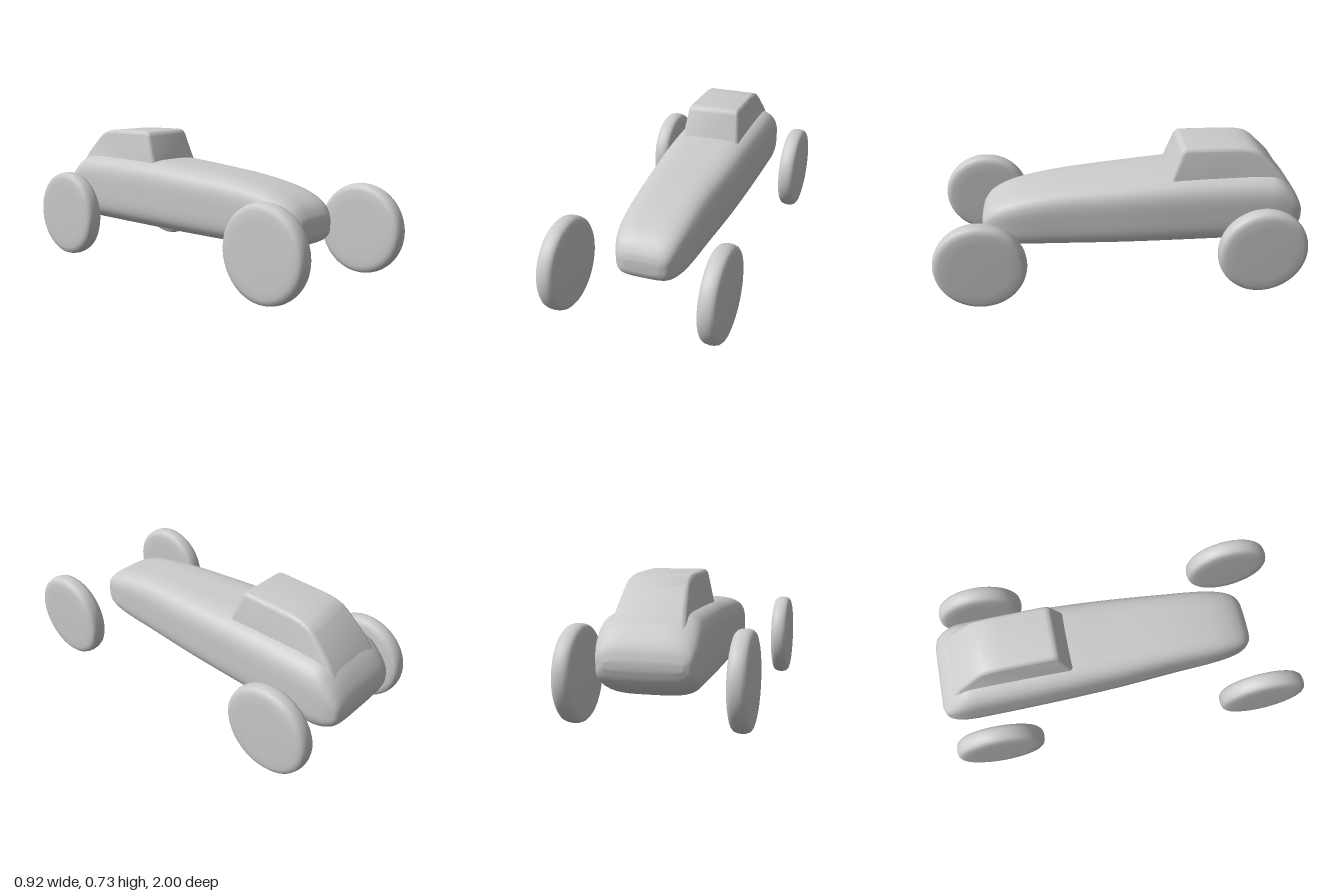
import * as THREE from 'three';
import { toCreasedNormals } from 'three/addons/utils/BufferGeometryUtils.js';

const material = new THREE.MeshStandardMaterial({ color: 0xcccccc });

// Body stations, nose to tail: [z, top, bottom, half width]
const STATIONS = [
  [0.757, 0.33, 0.265, 0.09], [0.742, 0.37, 0.235, 0.13], [0.70, 0.42, 0.21, 0.16],
  [0.62, 0.462, 0.195, 0.182], [0.50, 0.495, 0.187, 0.196], [0.30, 0.526, 0.182, 0.208],
  [0.0, 0.55, 0.18, 0.23], [-0.3, 0.569, 0.18, 0.243], [-0.6, 0.572, 0.18, 0.249],
  [-0.78, 0.57, 0.18, 0.25], [-0.86, 0.555, 0.185, 0.249], [-0.92, 0.505, 0.208, 0.243],
  [-0.96, 0.455, 0.237, 0.232], [-0.985, 0.41, 0.272, 0.216], [-1.0, 0.36, 0.32, 0.18],
];

// Smooth loft of rounded-square sections along z, closed at both ends
function bodyGeometry() {
  const spline = (f) => new THREE.CatmullRomCurve3(STATIONS.map(f), false, 'catmullrom', 0.5);
  const profile = spline(([z, top, bottom]) => new THREE.Vector3(z, top, bottom));
  const width = spline((s) => new THREE.Vector3(s[3], 0, 0));
  const rings = 70, n = 64, power = 4;
  const positions = [], index = [];
  for (let i = 0; i <= rings; i++) {
    const { x: z, y: top, z: bottom } = profile.getPoint(i / rings);
    const half = width.getPoint(i / rings).x;
    for (let j = 0; j < n; j++) {
      const a = (j / n) * Math.PI * 2, c = Math.cos(a), s = Math.sin(a);
      const r = (Math.abs(c) ** power + Math.abs(s) ** power) ** (-1 / power);
      positions.push(half * r * c, (top + bottom) / 2 + (top - bottom) / 2 * r * s, z);
      if (i === rings) continue;
      const p = i * n + j, q = i * n + (j + 1) % n;
      index.push(p, p + n, q, q, p + n, q + n);
    }
  }
  // end caps
  const nose = positions.length / 3, tail = nose + 1, last = rings * n;
  positions.push(0, 0.297, 0.757, 0, 0.34, -1);
  for (let j = 0; j < n; j++) {
    const k = (j + 1) % n;
    index.push(nose, j, k, tail, last + k, last + j);
  }
  const geometry = new THREE.BufferGeometry();
  geometry.setAttribute('position', new THREE.Float32BufferAttribute(positions, 3));
  geometry.setIndex(index);
  geometry.computeVertexNormals();
  return geometry;
}

// Side outline extruded across the car, then narrowed towards the roof
function cabinGeometry() {
  const half = 0.168, bevel = 0.022;
  const shape = new THREE.Shape();
  shape.moveTo(-0.245, 0.5);
  shape.lineTo(-0.318, 0.70);
  shape.quadraticCurveTo(-0.328, 0.73, -0.36, 0.73);
  shape.lineTo(-0.6, 0.726);
  shape.bezierCurveTo(-0.70, 0.722, -0.73, 0.71, -0.77, 0.676);
  shape.lineTo(-0.87, 0.575);
  shape.lineTo(-0.93, 0.48);
  shape.closePath();
  const geometry = new THREE.ExtrudeGeometry(shape, {
    depth: 2 * (half - bevel), bevelEnabled: true, bevelThickness: bevel,
    bevelSize: bevel, bevelOffset: -bevel, bevelSegments: 5, curveSegments: 10,
  });
  geometry.translate(0, 0, bevel - half);
  geometry.rotateY(-Math.PI / 2);
  const p = geometry.attributes.position;
  for (let i = 0; i < p.count; i++) {
    p.setX(i, p.getX(i) * (1 - 0.75 * (p.getY(i) - 0.57)));
  }
  return toCreasedNormals(geometry, 0.6);
}

// Solid disc wheel with a rounded tread
function wheelGeometry() {
  const side = [[0, 0.051], [0.16, 0.051], [0.205, 0.048], [0.224, 0.043], [0.235, 0.033], [0.24, 0.018]];
  const outline = [...side.map(([r, h]) => [r, -h]), [0.242, 0], ...side.slice().reverse()];
  const geometry = new THREE.LatheGeometry(outline.map(([r, h]) => new THREE.Vector2(r, h)), 64);
  geometry.rotateZ(-Math.PI / 2);
  return geometry;
}

export function createModel() {
  const model = new THREE.Group();
  model.name = 'racingCar';
  const add = (name, geometry) => {
    const mesh = new THREE.Mesh(geometry, material);
    mesh.name = name;
    model.add(mesh);
    return mesh;
  };

  add('body', bodyGeometry());
  add('cabin', cabinGeometry());

  const wheel = wheelGeometry();
  for (const [end, z] of [['front', 0.757], ['rear', -0.732]]) {
    for (const [side, x] of [['Left', 0.407], ['Right', -0.407]]) {
      add(`${end}${side}Wheel`, wheel).position.set(x, 0.243, z);
    }
  }
  return model;
}
